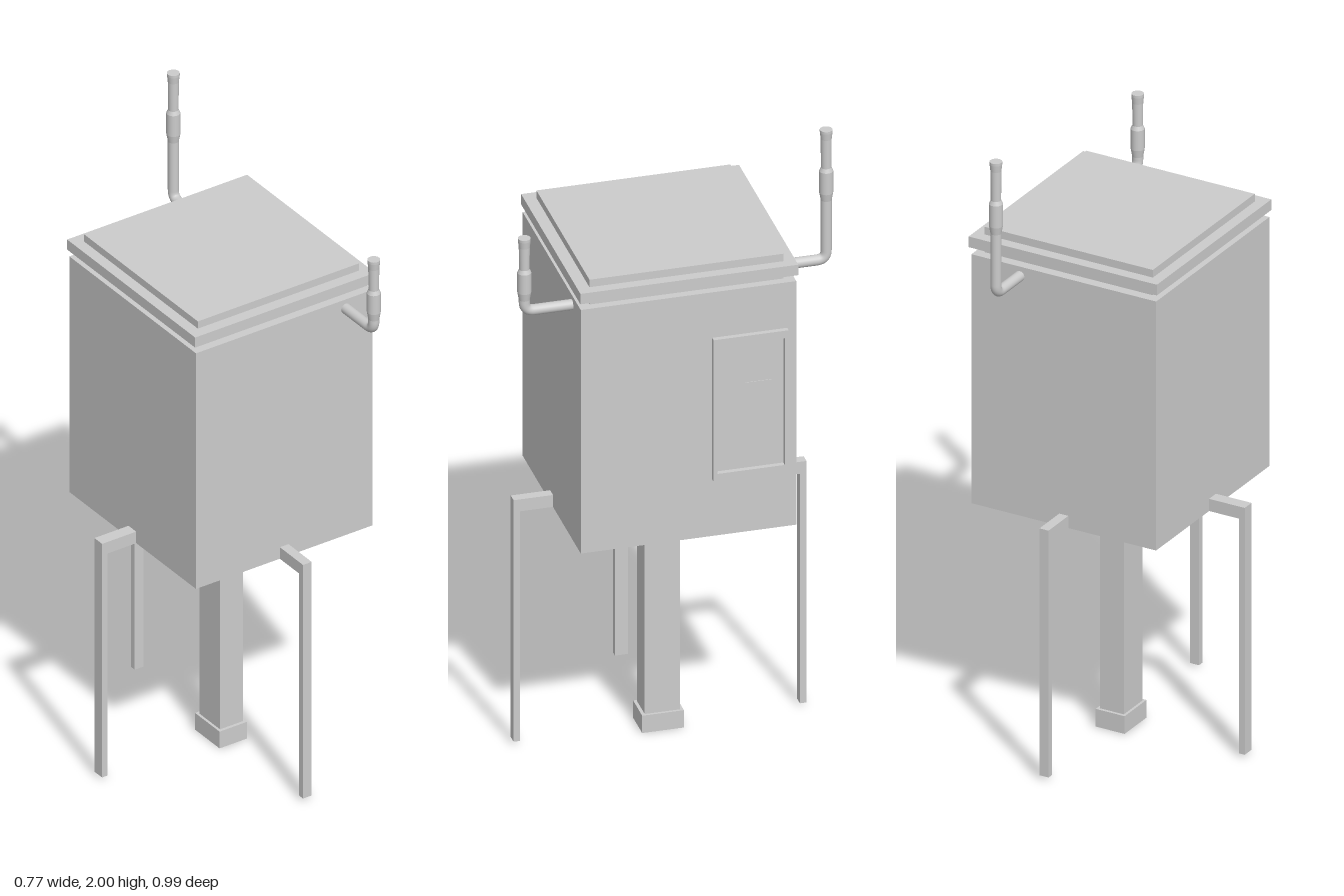
import * as THREE from 'three';

const material = new THREE.MeshStandardMaterial({ color: 0xcccccc });

export function createModel() {
  const group = new THREE.Group();

  const add = (name, geometry) => {
    const mesh = new THREE.Mesh(geometry, material);
    mesh.name = name;
    group.add(mesh);
    return mesh;
  };
  // Box given by its limits on each axis
  const box = (name, [x0, x1], [y0, y1], [z0, z1]) =>
    add(name, new THREE.BoxGeometry(x1 - x0, y1 - y0, z1 - z0))
      .position.set((x0 + x1) / 2, (y0 + y1) / 2, (z0 + z1) / 2);
  // Rectangular ring, extruded along +z by depth
  const ring = (w, h, innerW, innerH, depth) => {
    const rect = (Type, a, b) => new Type([[-a, -b], [a, -b], [a, b], [-a, b]]
      .map(([x, y]) => new THREE.Vector2(x / 2, y / 2)));
    const shape = rect(THREE.Shape, w, h);
    shape.holes.push(rect(THREE.Path, innerW, innerH));
    return new THREE.ExtrudeGeometry(shape, { depth, bevelEnabled: false });
  };

  // Cabinet and stepped lid
  box('cabinet', [-0.265, 0.367], [0.78, 1.597], [-0.333, 0.328]);
  box('lidCollar', [-0.235, 0.341], [1.597, 1.62], [-0.301, 0.294]);
  box('lidRim', [-0.27, 0.374], [1.62, 1.655], [-0.337, 0.331]);
  box('lidTop', [-0.235, 0.341], [1.655, 1.68], [-0.301, 0.294]);

  // Door: raised frame around a recessed field with a small plate
  const frame = add('doorFrame', ring(0.23, 0.475, 0.206, 0.425, 0.016));
  frame.rotation.y = Math.PI / 2;
  frame.position.set(0.367, 1.207, -0.19);
  box('doorPlate', [0.366, 0.369], [1.13, 1.28], [-0.26, -0.175]);

  // Hollow foot, central post and its flange
  const px = 0.05;
  box('post', [px - 0.041, px + 0.041], [0.05, 0.765], [-0.054, 0.054]);
  box('postFlange', [px - 0.056, px + 0.06], [0.757, 0.78], [-0.075, 0.075]);
  const foot = add('postFoot', ring(0.099, 0.128, 0.068, 0.094, 0.058));
  foot.rotation.x = -Math.PI / 2;
  foot.position.set(px, 0, 0);

  // Three bracket legs: front, back and one side
  for (const s of [1, -1]) {
    const span = (a, b) => (s > 0 ? [a, b] : [-b, -a]);
    const name = s > 0 ? 'front' : 'back';
    box(name + 'LegArm', [0.035, 0.066], [0.78, 0.82], span(0.32, 0.449));
    box(name + 'Leg', [0.035, 0.066], [0.01, 0.78], span(0.429, 0.449));
  }
  box('sideLegArm', [-0.387, -0.26], [0.78, 0.82], [-0.024, 0.016]);
  box('sideLeg', [-0.387, -0.367], [0.01, 0.78], [-0.024, 0.016]);

  // Elbow pipes, each with a thicker sleeve and a lipped outlet
  const pipe = (name, x, s, reach, top, sleeveLow, sleeveHigh) => {
    const y = 1.566, bend = 0.03, r = 0.0165;
    const z = s * reach;
    const at = (yy, zz) => new THREE.Vector3(x, yy, zz);
    const path = new THREE.CurvePath();
    path.add(new THREE.LineCurve3(at(y, s * 0.32), at(y, z - s * bend)));
    path.add(new THREE.QuadraticBezierCurve3(at(y, z - s * bend), at(y, z), at(y + bend, z)));
    add(name + 'Elbow', new THREE.TubeGeometry(path, 40, r, 20, false));
    const profile = [
      [r, y + bend], [r, sleeveLow - 0.025], [0.021, sleeveLow], [0.021, sleeveHigh],
      [0.0155, sleeveHigh + 0.012], [0.0165, top - 0.03], [0.019, top - 0.008], [0.019, top], [0, top],
    ].map(([a, b]) => new THREE.Vector2(a, b));
    // Short separate bands keep the edges between sections crisp
    const riser = new THREE.Group();
    riser.name = name + 'Riser';
    for (let i = 0; i < profile.length - 1; i++) {
      const band = new THREE.Mesh(new THREE.LatheGeometry([profile[i], profile[i + 1]], 20), material);
      band.name = name + 'Section';
      riser.add(band);
    }
    riser.position.set(x, 0, z);
    group.add(riser);
  };
  pipe('backPipe', 0.202, -1, 0.471, 2.0, 1.79, 1.862);
  pipe('frontPipe', 0.271, 1, 0.474, 1.81, 1.63, 1.695);

  return group;
}
